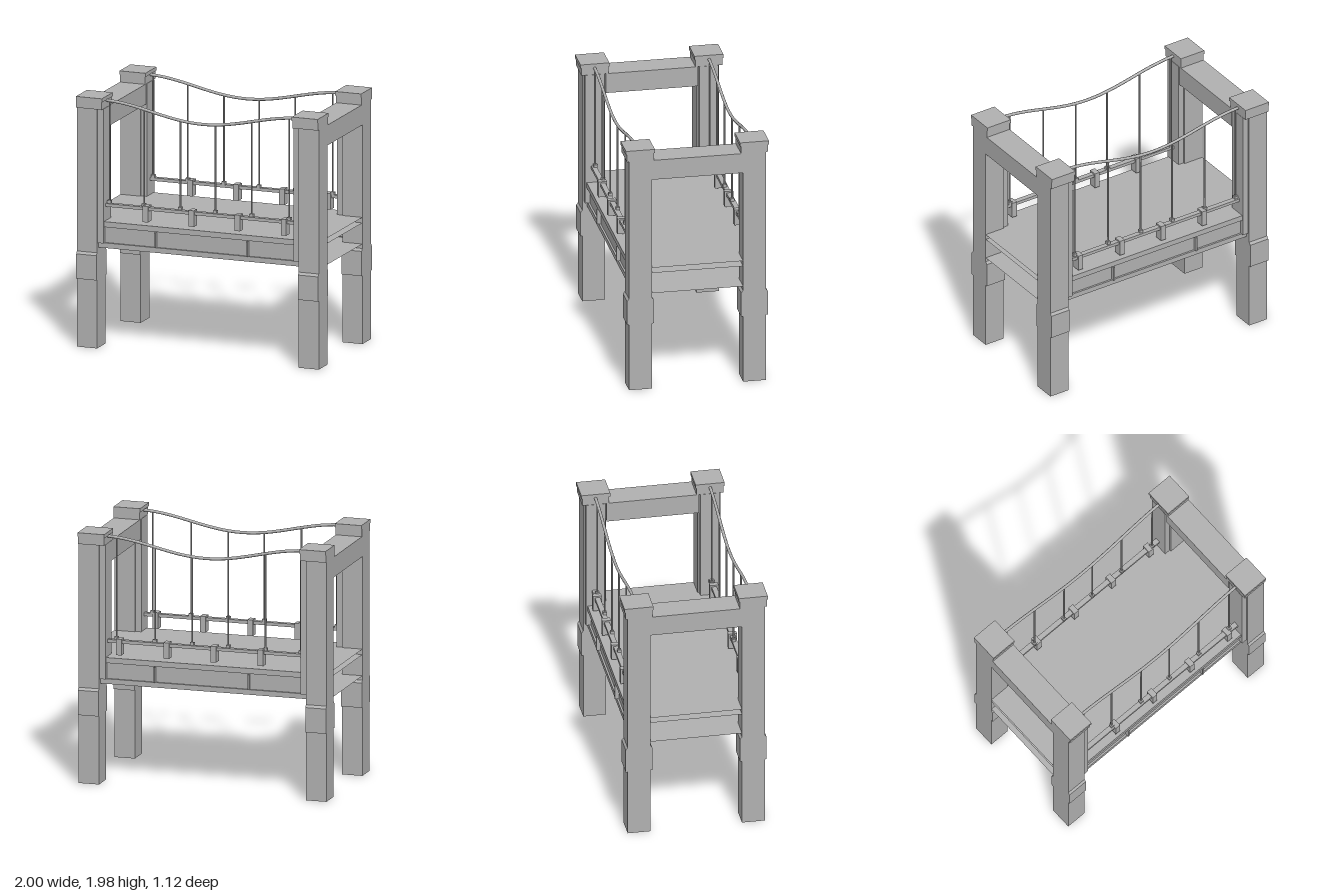
import * as THREE from 'three';

export function createModel() {
  const model = new THREE.Group();
  model.name = 'suspensionBridge';
  const stone = new THREE.MeshStandardMaterial({ color: 0xb0b0b0 });
  stone.name = 'grey';
  const sheet = new THREE.MeshStandardMaterial({ color: 0xb0b0b0, side: THREE.DoubleSide });
  sheet.name = 'greySheet';

  const add = (name, geometry, material = stone) => {
    const mesh = new THREE.Mesh(geometry, material);
    mesh.name = name;
    model.add(mesh);
    return mesh;
  };
  // box given by its limits on each axis
  const box = (name, x0, x1, y0, y1, z0, z1) =>
    add(name, new THREE.BoxGeometry(Math.abs(x1 - x0), y1 - y0, Math.abs(z1 - z0)))
      .position.set((x0 + x1) / 2, (y0 + y1) / 2, (z0 + z1) / 2);
  // open surface swept along x from a profile of [z, y] points
  const strip = (name, halfLength, points) => {
    const pos = [], index = [];
    points.forEach(([z, y], i) => {
      pos.push(-halfLength, y, z, halfLength, y, z);
      if (i) index.push(2 * i - 2, 2 * i - 1, 2 * i + 1, 2 * i - 2, 2 * i + 1, 2 * i);
    });
    const g = new THREE.BufferGeometry();
    g.setAttribute('position', new THREE.Float32BufferAttribute(pos, 3));
    g.setIndex(index);
    const flat = g.toNonIndexed();
    flat.computeVertexNormals();
    add(name, flat, sheet);
  };

  // tower leg outline with a collar, half width against height
  const half = [[0.089, 0], [0.089, 0.54], [0.104, 0.54], [0.104, 0.735], [0.089, 0.755], [0.089, 1.89]];
  const outline = [...half, ...half.map(([w, y]) => [-w, y]).reverse()];
  const legShape = new THREE.Shape(outline.map(([w, y]) => new THREE.Vector2(w, y)));
  const legGeometry = new THREE.ExtrudeGeometry(legShape, { depth: 0.166, bevelEnabled: false });
  legGeometry.translate(0, 0, -0.083).rotateY(Math.PI / 2);

  // towers
  for (const sx of [-1, 1]) {
    for (const sz of [-1, 1]) {
      add('towerLeg', legGeometry).position.set(sx * 0.917, 0, sz * 0.446);
      box('innerPilaster', sx * 0.834, sx * 0.787, 0.83, 1.89, sz * 0.37, sz * 0.522);
      box('capNeck', sx, sx * 0.79, 1.89, 1.95, sz * 0.341, sz * 0.551);
      box('capSlab', sx, sx * 0.785, 1.95, 1.98, sz * 0.333, sz * 0.559);
    }
    box('crossBeam', sx, sx * 0.79, 1.73, 1.89, -0.36, 0.36);
  }

  // hollow deck, open at both ends
  strip('deckTop', 1, [[0.51, 1], [-0.51, 1]]);
  strip('deckUnderlayer', 1, [[0.485, 0.957], [-0.485, 0.957]]);
  strip('deckBottom', 1, [[0.5, 0.79], [-0.5, 0.79]]);

  class CableCurve extends THREE.Curve {
    constructor(z) { super(); this.z = z; }
    getPoint(t, target = new THREE.Vector3()) {
      const x = (t * 2 - 1) * 0.79;
      return target.set(x, cableY(x), this.z);
    }
  }

  for (const s of [-1, 1]) {
    // deck edge with a recessed panel between lip and sill
    strip('deckFascia', 0.9, [[0.51, 1], [0.51, 0.957], [0.485, 0.957], [0.485, 0.83],
      [0.5, 0.83], [0.5, 0.79]].map(([z, y]) => [s * z, y]));
    for (const x of [-0.363, 0.397])
      box('fasciaRib', x - 0.006, x + 0.006, 0.83, 0.95, s * 0.48, s * 0.516);

    // low rail and its brackets
    box('rail', -0.79, 0.79, 1.11, 1.135, s * 0.435, s * 0.475);
    for (const x of [-0.453, -0.073, 0.307, 0.69])
      box('railBracket', x - 0.022, x + 0.022, 1.02, 1.147, s * 0.422, s * 0.49);

    // main cable and hangers
    const z = s * 0.447;
    add('mainCable', new THREE.TubeGeometry(new CableCurve(z), 32, 0.012, 8));
    for (const x of [-0.765, -0.48, -0.18, 0.11, 0.41, 0.72]) {
      const top = cableY(x), bottom = 1.13;
      add('hanger', new THREE.CylinderGeometry(0.007, 0.007, top - bottom, 8))
        .position.set(x, (top + bottom) / 2, z);
      box('hangerFoot', x - 0.015, x + 0.015, 1.13, 1.157, z - 0.015, z + 0.015);
    }
  }
  return model;
}

// height of the sagging cable
function cableY(x) {
  return 1.885 - 0.06 * Math.cos((x / 0.83) * Math.PI);
}
